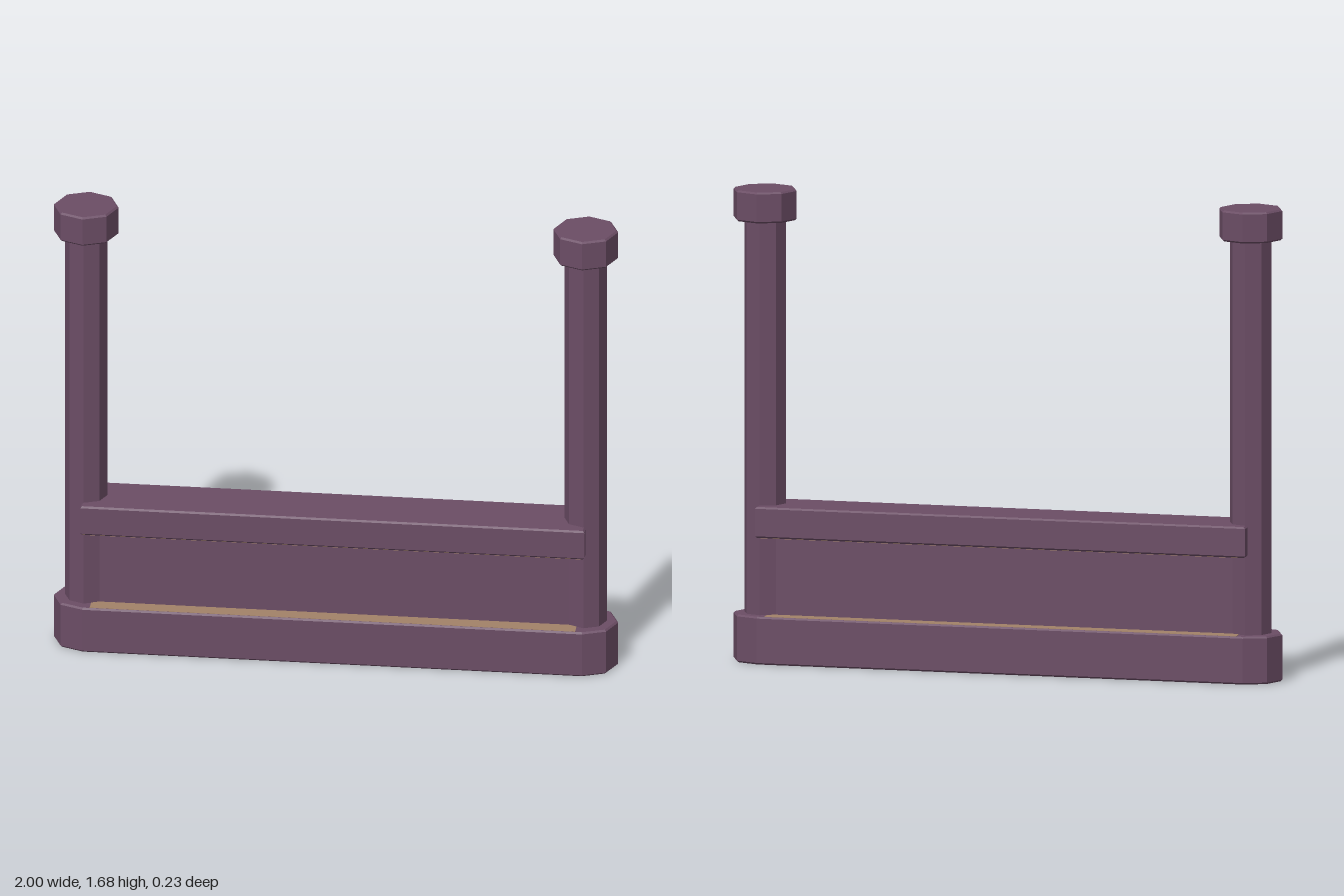
import * as THREE from 'three';

const plum = new THREE.MeshStandardMaterial({ color: 0x6b4d65 });
plum.name = 'plum paint';
const tan = new THREE.MeshStandardMaterial({ color: 0xa28268 });
tan.name = 'bare wood';

const POST_X = 0.885;

// Points of an octagon with corners on both axes, from angle step a to b
function octagon(radius, cx = 0, a = 0, b = 7) {
  const points = [];
  for (let i = a; i <= b; i++) {
    const t = (i * Math.PI) / 4;
    points.push(new THREE.Vector2(cx + radius * Math.cos(t), radius * Math.sin(t)));
  }
  return points;
}

function rectangle(x, z) {
  return [[x, -z], [x, z], [-x, z], [-x, -z]].map(([a, b]) => new THREE.Vector2(a, b));
}

// Upright prism from y0 to y1 with a narrow bevel on its top and bottom edges
function prism(name, outline, y0, y1, bevel = 0.006) {
  const geometry = new THREE.ExtrudeGeometry(new THREE.Shape(outline), {
    depth: y1 - y0 - 2 * bevel,
    bevelEnabled: bevel > 0,
    bevelThickness: bevel,
    bevelSize: bevel,
    bevelOffset: -bevel,
    bevelSegments: 1,
  });
  geometry.rotateX(-Math.PI / 2).translate(0, y0 + bevel, 0);
  const mesh = new THREE.Mesh(geometry, plum);
  mesh.name = name;
  return mesh;
}

function strip(name, width, depth, y, z) {
  const mesh = new THREE.Mesh(new THREE.BoxGeometry(width, 0.002, depth), tan);
  mesh.name = name;
  mesh.position.set(0, y, z);
  return mesh;
}

export function createModel() {
  const model = new THREE.Group();
  model.name = 'railing';

  // Long base with half-octagon ends
  const baseOutline = [...octagon(0.115, POST_X, -2, 2), ...octagon(0.115, -POST_X, 2, 6)];
  model.add(prism('base', baseOutline, 0, 0.17));

  // Infill panel and the rail above it
  model.add(prism('panel', rectangle(0.87, 0.053), 0.16, 0.46, 0));
  model.add(prism('rail', rectangle(0.893, 0.11), 0.45, 0.56));

  for (const side of [-1, 1]) {
    // Posts and caps
    const label = side > 0 ? 'left' : 'right';
    const post = prism(label + 'Post', octagon(0.075), 0.16, 1.58, 0);
    const cap = prism(label + 'Cap', octagon(0.115), 1.57, 1.68);
    post.position.x = cap.position.x = side * POST_X;
    model.add(post, cap);

    // Bare ledges on the base and under the rail, front and back
    const face = side > 0 ? 'front' : 'back';
    model.add(strip(face + 'BaseLedge', 1.72, 0.055, 0.17, side * 0.0805));
    model.add(strip(face + 'RailUnderside', 1.77, 0.052, 0.45, side * 0.078));
  }
  return model;
}
